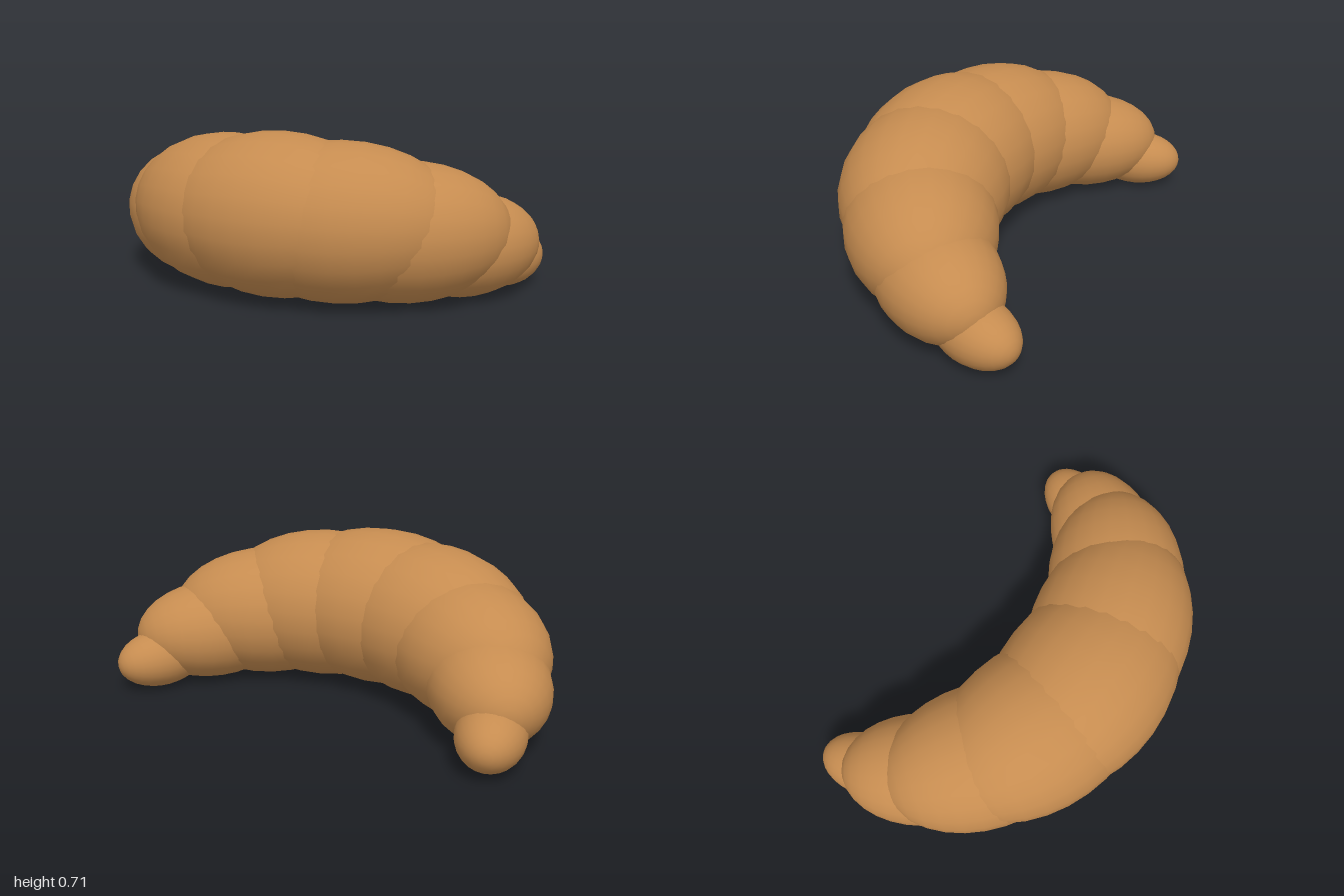
import * as THREE from 'three';

export function createModel() {
  const group = new THREE.Group();
  group.name = 'croissant';
  const crust = new THREE.MeshStandardMaterial({ color: 0xc68c50 });
  crust.name = 'bakedCrust';

  // Unit ball with its pole along x and flats facing up, down, in and out
  const ball = new THREE.SphereGeometry(1, 24, 16);
  ball.rotateY(Math.PI / 24);
  ball.rotateZ(Math.PI / 2);

  // Half sizes of each roll from the middle to the tip: along, up, across
  const rolls = [
    [0.54, 0.355, 0.382],
    [0.52, 0.341, 0.364],
    [0.46, 0.298, 0.32],
    [0.365, 0.225, 0.25],
    [0.213, 0.13, 0.14],
  ];
  const arcRadius = 0.87, arcCentreZ = -0.66, step = Math.PI / 10;

  // Overlapping rolls along a curved arc, all resting on the ground
  for (let i = -4; i <= 4; i++) {
    const [along, up, across] = rolls[Math.abs(i)];
    const angle = i * step;
    const roll = new THREE.Mesh(ball, crust);
    const side = i > 0 ? 'left' : 'right';
    roll.name = i === 0 ? 'middleRoll' : Math.abs(i) === 4 ? `${side}Tip` : `${side}Roll${Math.abs(i)}`;
    roll.scale.set(along, up * 1.005, across * 1.005);
    roll.rotation.y = angle;
    roll.position.set(arcRadius * Math.sin(angle), up, arcCentreZ + arcRadius * Math.cos(angle));
    group.add(roll);
  }
  return group;
}
